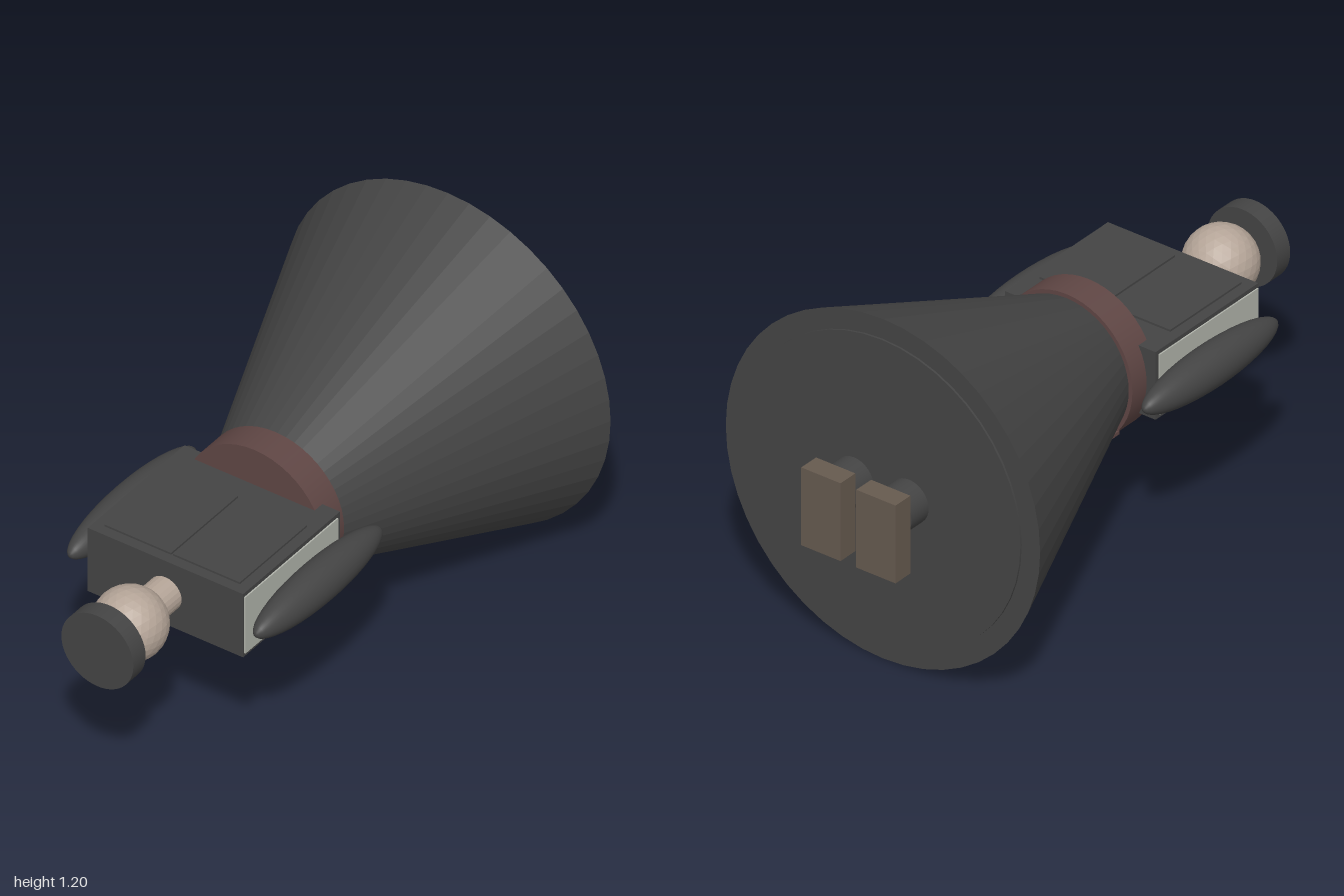
import * as THREE from 'three';

const AXIS_Y = 0.605;

const mat = (color, flatShading = false) => new THREE.MeshStandardMaterial({ color, flatShading });

export function createModel() {
  const group = new THREE.Group();
  const dark = mat(0x444444);
  const darkFlat = mat(0x444444, true);
  const maroon = mat(0x5f4644);
  const skin = mat(0xb5a598, true);
  const leather = mat(0x665a4f);
  const lightGrey = mat(0xb0b3aa);

  const add = (name, geometry, material, x = 0, y = AXIS_Y, z = 0) => {
    const mesh = new THREE.Mesh(geometry, material);
    mesh.name = name;
    mesh.position.set(x, y, z);
    group.add(mesh);
    return mesh;
  };
  // cylinder along z, from zBack to zFront
  const rod = (name, rFront, rBack, zBack, zFront, material, sides = 48, x = 0) => {
    const g = new THREE.CylinderGeometry(rFront, rBack, zFront - zBack, sides).rotateX(Math.PI / 2);
    return add(name, g, material, x, AXIS_Y, (zBack + zFront) / 2);
  };
  // box given by its limits
  const block = (name, x0, x1, y0, y1, z0, z1, material) =>
    add(name, new THREE.BoxGeometry(x1 - x0, y1 - y0, z1 - z0), material,
      (x0 + x1) / 2, (y0 + y1) / 2, (z0 + z1) / 2);

  // long flared skirt with its hem disc, and the waistband
  rod('skirt', 0.235, 0.6, -0.83, 0.08, darkFlat);
  rod('hemDisc', 0.53, 0.53, -0.837, -0.8, dark);
  rod('waistband', 0.253, 0.253, 0.07, 0.18, maroon);

  // torso with pale side panels
  block('torso', -0.287, 0.287, 0.487, 0.726, 0.14, 0.645, dark);
  block('sidePanels', -0.292, 0.292, 0.5, 0.712, 0.155, 0.64, lightGrey);

  for (const s of [1, -1]) {
    const side = s > 0 ? 'left' : 'right';
    const span = (a, b) => (s > 0 ? [a, b] : [-b, -a]);

    // raised jacket plates on both broad faces
    block(side + 'UpperPlate', ...span(0.004, 0.25), 0.72, 0.733, 0.26, 0.61, dark);
    block(side + 'LowerPlate', ...span(0.004, 0.25), 0.467, 0.49, 0.26, 0.61, dark);
    block(side + 'Clasp', ...span(0.01, 0.022), 0.458, 0.47, 0.3, 0.56, dark);
    block(side + 'WaistTab', ...span(0.185, 0.2), 0.435, 0.447, 0.03, 0.075, maroon);

    // tapering arm
    const arm = new THREE.SphereGeometry(1, 32, 20).rotateX(Math.PI / 2).scale(0.066, 0.07, 0.326);
    add(side + 'Arm', arm, dark, s * 0.343, AXIS_Y, 0.335);

    // leg stub and shoe
    rod(side + 'Leg', 0.075, 0.075, -0.92, -0.83, dark, 32, s * 0.105);
    block(side + 'Shoe', ...span(0.03, 0.18), 0.42, 0.695, -1, -0.927, leather);
  }

  // neck, faceted head and flat cap
  rod('neck', 0.06, 0.06, 0.64, 0.76, skin, 24);
  add('head', new THREE.IcosahedronGeometry(0.121, 4), skin, 0, AXIS_Y, 0.83);
  rod('cap', 0.133, 0.133, 0.936, 1, dark);

  return group;
}
